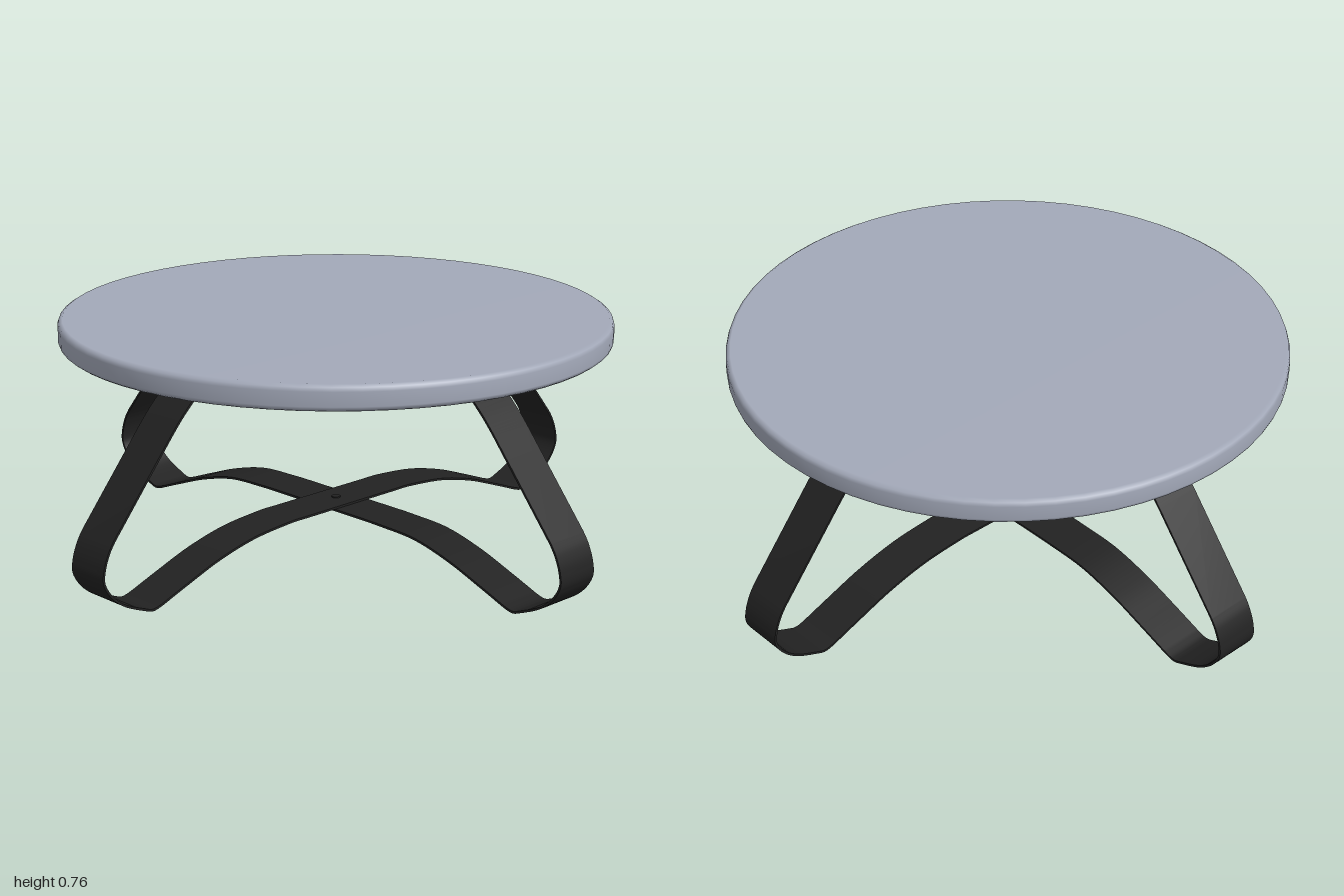
import * as THREE from 'three';
import { toCreasedNormals } from 'three/addons/utils/BufferGeometryUtils.js';

const HALF_WIDTH = 0.073;
const THICK = 0.007;

// Centre line of one full bent strap, from one top tab to the opposite one
function strapPath(apex) {
  const v = (x, y) => new THREE.Vector2(x, y);
  const path = new THREE.Path();
  path.moveTo(0.29, 0.676);
  path.lineTo(0.575, 0.676);
  path.splineThru([v(0.61, 0.647), v(0.684, 0.577), v(0.73, 0.526)]);
  path.lineTo(0.955, 0.252);
  path.splineThru([v(0.975, 0.22), v(0.992, 0.175), v(0.995, 0.13), v(0.967, 0.083), v(0.92, 0.045),
    v(0.85, 0.014), v(0.818, 0.0045), v(0.785, 0.012)]);
  path.splineThru([v(0.68, 0.052), v(0.556, 0.096), v(0.417, 0.129), v(0.273, apex - 0.001), v(0.2, apex)]);
  const half = path.getPoints(5).filter((p, i, a) => i === 0 || p.distanceTo(a[i - 1]) > 1e-4);
  return [...half, ...half.map(p => v(-p.x, p.y)).reverse()];
}

// Thicken the centre line and extrude it across the strap width
function strapGeometry(apex) {
  const pts = strapPath(apex);
  const side = s => pts.map((p, i) => {
    const a = pts[Math.max(i - 1, 0)], b = pts[Math.min(i + 1, pts.length - 1)];
    const t = b.clone().sub(a).normalize();
    return new THREE.Vector2(p.x - t.y * s, p.y + t.x * s);
  });
  const shape = new THREE.Shape([...side(THICK / 2), ...side(-THICK / 2).reverse()]);
  const geo = new THREE.ExtrudeGeometry(shape, { depth: HALF_WIDTH * 2, bevelEnabled: false });
  geo.translate(0, 0, -HALF_WIDTH);
  return toCreasedNormals(geo, 0.6);
}

export function createModel() {
  const model = new THREE.Group();
  model.name = 'roundTable';

  const topGrey = new THREE.MeshStandardMaterial({ color: 0xa3a9b9 });
  topGrey.name = 'blueGrey';
  const black = new THREE.MeshStandardMaterial({ color: 0x222222 });
  black.name = 'blackMetal';

  const add = (parent, name, geo, mat, x = 0, y = 0, z = 0) => {
    const mesh = new THREE.Mesh(geo, mat);
    mesh.name = name;
    mesh.position.set(x, y, z);
    parent.add(mesh);
    return mesh;
  };

  // Round top with a softened rim
  const profile = [[0, 0.68], [0.852, 0.68], [0.86, 0.686], [0.863, 0.695],
    [0.863, 0.738], [0.859, 0.75], [0.848, 0.757], [0, 0.757]];
  add(model, 'tableTop', new THREE.LatheGeometry(profile.map(p => new THREE.Vector2(...p)), 64), topGrey);

  // Two crossing straps, the second passing under the first
  const screwGeo = new THREE.CylinderGeometry(0.014, 0.009, 0.01, 12);
  [0.144, 0.137].forEach((apex, i) => {
    const frame = new THREE.Group();
    frame.name = i ? 'lowerLegFrame' : 'upperLegFrame';
    frame.rotation.y = i * Math.PI / 2;
    add(frame, 'legStrap', strapGeometry(apex), black);
    for (const x of [-0.46, -0.38, 0.38, 0.46]) add(frame, 'tabScrew', screwGeo, black, x, 0.668, 0);
    model.add(frame);
  });

  // Bolt joining the straps at the crossing
  add(model, 'centreBolt', new THREE.CylinderGeometry(0.014, 0.014, 0.022, 16), black, 0, 0.1405, 0);

  return model;
}
